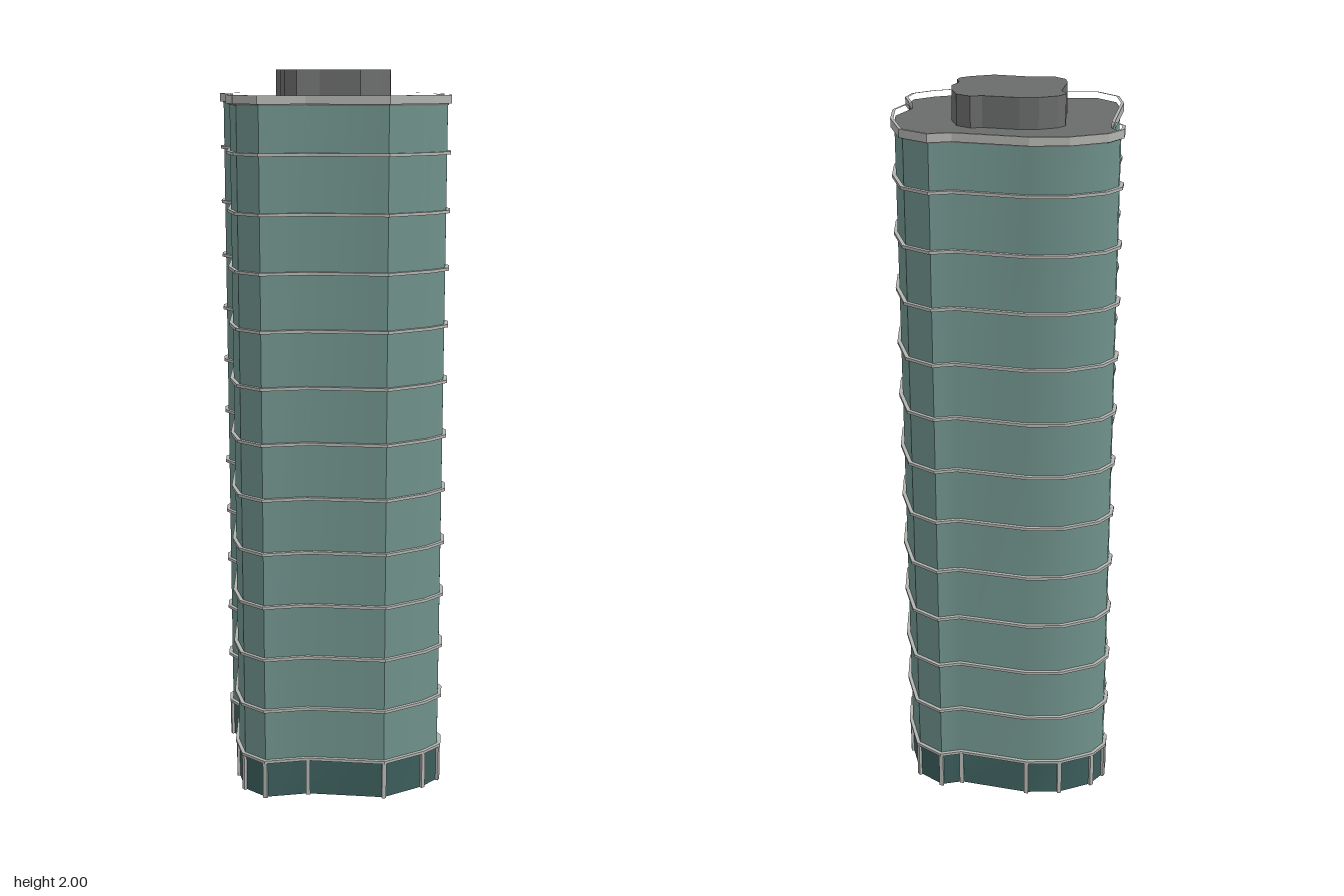
import * as THREE from 'three';
import { toCreasedNormals } from 'three/addons/utils/BufferGeometryUtils.js';

// Wavy floor plan as [x, z], clockwise seen from above
const PLAN = [
  [-0.185, -0.295], [-0.088, -0.31], [0.107, -0.286], [0.165, -0.307], [0.244, -0.26],
  [0.29, -0.14], [0.308, -0.028], [0.283, 0.07], [0.308, 0.14], [0.301, 0.197],
  [0.25, 0.245], [0.132, 0.307], [-0.082, 0.274], [-0.205, 0.29], [-0.268, 0.232],
  [-0.287, 0.14], [-0.28, -0.1], [-0.31, -0.145], [-0.31, -0.19], [-0.277, -0.243],
];
const COUNT = PLAN.length;

// Outward direction at each corner, stretched so that offsets keep an even width
const MITRES = PLAN.map(([x, z], i) => {
  const [px, pz] = PLAN[(i + COUNT - 1) % COUNT];
  const [nx, nz] = PLAN[(i + 1) % COUNT];
  const a = new THREE.Vector2(z - pz, px - x).normalize();
  const b = new THREE.Vector2(nz - z, x - nx).normalize();
  const m = a.clone().add(b).normalize();
  return m.divideScalar(m.dot(a));
});
const inset = (d) => PLAN.map(([x, z], i) => [x - MITRES[i].x * d, z - MITRES[i].y * d]);

// Open wall that follows a plan between two heights
function wallGeometry(points, y0, y1) {
  const pos = [];
  points.forEach(([ax, az], i) => {
    const [bx, bz] = points[(i + 1) % points.length];
    pos.push(bx, y0, bz, ax, y0, az, ax, y1, az);
    pos.push(bx, y0, bz, ax, y1, az, bx, y1, bz);
  });
  const geo = new THREE.BufferGeometry();
  geo.setAttribute('position', new THREE.Float32BufferAttribute(pos, 3));
  return toCreasedNormals(geo, 0.5);
}

// Slab (or ring, when an inner plan is given) between two heights
function slabGeometry(outer, y0, y1, inner) {
  const toVectors = (pts) => pts.map(([x, z]) => new THREE.Vector2(x, -z));
  const shape = new THREE.Shape(toVectors(outer));
  if (inner) shape.holes.push(new THREE.Path(toVectors(inner)));
  const geo = new THREE.ExtrudeGeometry(shape, { depth: y1 - y0, bevelEnabled: false });
  return geo.rotateX(-Math.PI / 2).translate(0, y0, 0);
}

export function createModel() {
  const group = new THREE.Group();
  const material = (name, color, side = THREE.FrontSide) => {
    const m = new THREE.MeshStandardMaterial({ color, side });
    m.name = name;
    return m;
  };
  const glass = material('facade glass', 0x6f918b, THREE.DoubleSide);
  const lobbyGlass = material('lobby glass', 0x3c5e5c, THREE.DoubleSide);
  const trim = material('pale trim', 0xb2b4b0);
  const roofGrey = material('roof grey', 0x6a6c6b);

  const add = (name, geo, mat) => {
    const mesh = new THREE.Mesh(geo, mat);
    mesh.name = name;
    group.add(mesh);
    return mesh;
  };

  const BASE = 0.11, FLOOR = 0.1525, TOP = 1.92;
  const wallPlan = inset(0.01);

  // Hollow lobby and tower walls
  add('lobbyWall', wallGeometry(wallPlan, 0, BASE), lobbyGlass);
  add('towerWall', wallGeometry(wallPlan, BASE, TOP), glass);

  // Thin ledge at every floor
  for (let i = 0; i < 12; i++) {
    const y = BASE + FLOOR * i;
    add('floorLedge', slabGeometry(PLAN, y - 0.004, y + 0.004, wallPlan), trim);
  }

  // Lobby posts at the plan corners
  const postPlan = inset(0.007);
  postPlan.forEach(([x, z], i) => {
    const post = add('lobbyPost', new THREE.BoxGeometry(0.012, BASE, 0.008), trim);
    post.position.set(x, BASE / 2, z);
    post.rotation.y = Math.atan2(MITRES[i].x, MITRES[i].y);
  });

  // Roof, parapet and plant room
  add('roof', slabGeometry(inset(0.008), TOP - 0.01, TOP), roofGrey);
  add('parapet', slabGeometry(PLAN, 1.914, 1.936, inset(0.008)), trim);
  const plantPlan = PLAN.map(([x, z]) => [x * 0.495, z * 0.495]);
  add('plantRoom', slabGeometry(plantPlan, TOP, 2), roofGrey);

  return group;
}
